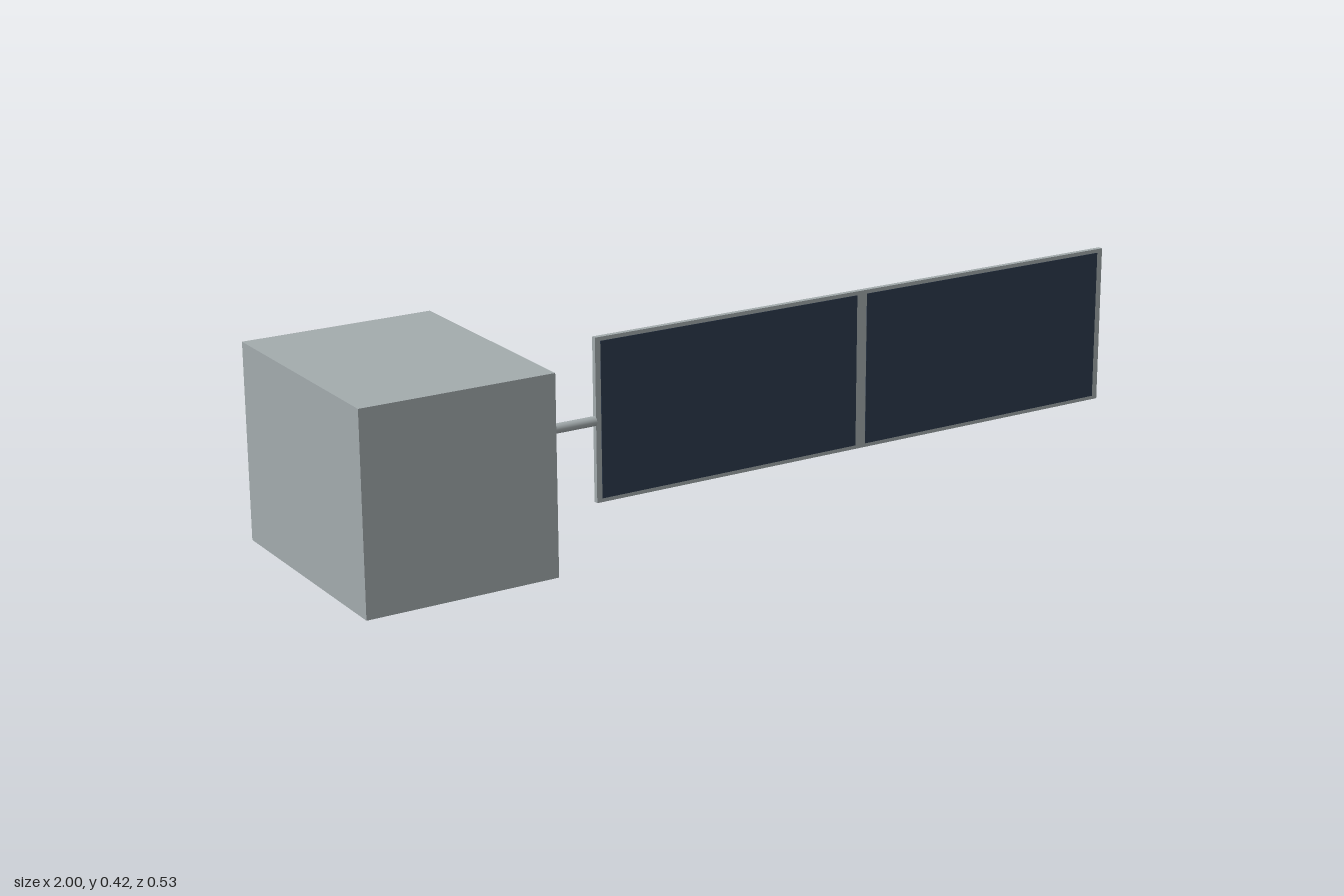
import * as THREE from 'three';

export function createModel() {
  const group = new THREE.Group();
  const metal = new THREE.MeshStandardMaterial({ color: 0xa3abad });
  metal.name = 'light grey metal';
  const solar = new THREE.MeshStandardMaterial({ color: 0x2c3a4d });
  solar.name = 'dark blue solar cell';

  const midY = 0.211;

  function add(name, geometry, material, x, y, z) {
    const mesh = new THREE.Mesh(geometry, material);
    mesh.name = name;
    mesh.position.set(x, y, z);
    group.add(mesh);
    return mesh;
  }

  // Box-shaped body
  add('body', new THREE.BoxGeometry(0.42, 0.422, 0.527), metal, -0.79, midY, 0);

  // Boom from the body to the panel
  const boom = add('boom', new THREE.CylinderGeometry(0.0105, 0.0105, 0.24, 16), metal, -0.461, midY, 0);
  boom.rotation.z = Math.PI / 2;

  // Panel backing, whose rim shows as a frame around the cells
  add('panelFrame', new THREE.BoxGeometry(1.341, 0.359, 0.0115), metal, 0.3295, midY + 0.001, -0.0005);

  // Two solar cells on the front face
  for (const side of [-1, 1]) {
    const name = side < 0 ? 'innerSolarCell' : 'outerSolarCell';
    add(name, new THREE.BoxGeometry(0.644, 0.342, 0.002), solar, 0.3285 + side * 0.335, midY + 0.001, 0.0053);
  }

  return group;
}
